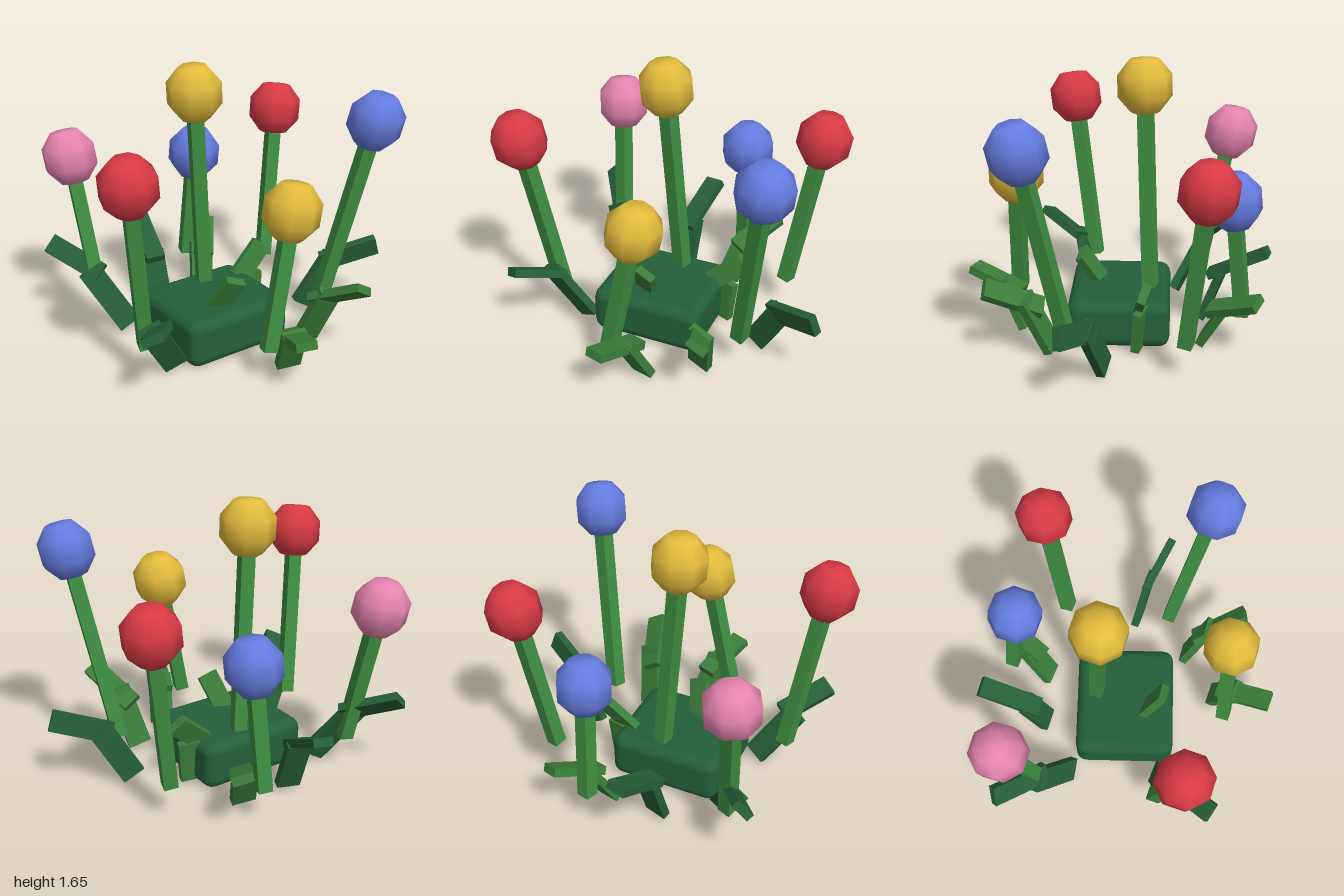
import * as THREE from 'three';
import { RoundedBoxGeometry } from 'three/addons/geometries/RoundedBoxGeometry.js';

const UP = new THREE.Vector3(0, 1, 0);
const material = (color) => new THREE.MeshStandardMaterial({ color });
const MAT = {
  base: material(0x23603a),
  stem: material(0x3f8f42),
  dark: material(0x265f36),
  light: material(0x3a7d3a),
  yellow: material(0xe3bb3c),
  red: material(0xd93a45),
  blue: material(0x657ce0),
  pink: material(0xe684b0),
};

// Box whose long axis runs from a to b
function bar(name, a, b, width, depth, mat) {
  const from = new THREE.Vector3(...a);
  const dir = new THREE.Vector3(...b).sub(from);
  const mesh = new THREE.Mesh(new THREE.BoxGeometry(width, dir.length(), depth), mat);
  mesh.name = name;
  mesh.position.copy(from).addScaledVector(dir, 0.5);
  mesh.quaternion.setFromUnitVectors(UP, dir.normalize());
  return mesh;
}

// Eight-sided rounded flower head
function headGeometry() {
  const profile = [[0, -0.158], [0.085, -0.152], [0.157, -0.063], [0.157, 0.063], [0.085, 0.152], [0, 0.158]];
  const geo = new THREE.LatheGeometry(profile.map(([r, y]) => new THREE.Vector2(r, y)), 8);
  return geo.rotateY(Math.PI / 8);
}

// Stem foot, head centre, colour
const FLOWERS = [
  [[-0.09, 0.2, -0.17], [-0.16, 1.49, -0.1], 'yellow'],
  [[-0.6, 0.21, 0.37], [-0.7, 1.235, 0.54], 'red'],
  [[-0.71, 0.21, -0.31], [-0.82, 1.065, -0.455], 'pink'],
  [[-0.04, 0.21, -0.745], [0.005, 0.92, -0.68], 'blue'],
  [[0.43, 0.21, -0.54], [0.545, 1.16, -0.675], 'red'],
  [[0.56, 0.21, 0.11], [0.79, 1.34, 0.265], 'blue'],
  [[0.03, 0.21, 0.63], [0.175, 0.995, 0.565], 'yellow'],
];

// Lower blade foot and top, upper blade start and tip, colour
const LEAVES = [
  [[-0.3, 0.03, -0.44], [-0.32, 0.34, -0.55], [-0.315, 0.31, -0.47], [-0.345, 0.49, -0.82], 'dark'],
  [[0, 0.03, -0.52], [0.04, 0.29, -0.67], [0.03, 0.25, -0.57], [0.125, 0.375, -0.87], 'light'],
  [[-0.56, 0.05, -0.18], [-0.77, 0.38, -0.32], [-0.7, 0.36, -0.29], [-0.96, 0.5, -0.51], 'dark'],
  [[-0.42, 0.04, 0.33], [-0.6, 0.37, 0.47], [-0.52, 0.35, 0.44], [-0.65, 0.45, 0.73], 'dark'],
  [[0.19, 0.03, 0.52], [0.165, 0.31, 0.67], [0.17, 0.25, 0.55], [0.15, 0.35, 0.88], 'light'],
  [[0.4, 0.04, 0.27], [0.5, 0.38, 0.39], [0.43, 0.3, 0.31], [0.62, 0.46, 0.58], 'light'],
  [[0.53, 0.05, -0.1], [0.72, 0.37, -0.07], [0.64, 0.33, -0.08], [0.98, 0.43, -0.01], 'dark'],
  [[0.2, 0.02, -0.19], [0.22, 0.27, -0.21], [0.13, 0.25, -0.18], [0.31, 0.42, -0.26], 'light'],
  [[-0.13, 0.03, 0.08], [-0.11, 0.27, 0.15], [-0.12, 0.24, 0.14], [-0.03, 0.46, 0.25], 'light'],
];

export function createModel() {
  const model = new THREE.Group();
  model.name = 'flowerPatch';

  // Rounded base block, turned slightly
  const base = new THREE.Mesh(new RoundedBoxGeometry(0.68, 0.285, 0.6, 2, 0.065), MAT.base);
  base.name = 'base';
  base.position.set(-0.09, 0.1425, 0.02);
  base.rotation.y = 0.29;
  model.add(base);

  // Flowers: square stem with the head tilted along it
  const headGeo = headGeometry();
  for (const [foot, top, color] of FLOWERS) {
    const flower = new THREE.Group();
    flower.name = 'flower';
    const stem = bar('stem', foot, top, 0.08, 0.08, MAT.stem);
    const head = new THREE.Mesh(headGeo, MAT[color]);
    head.name = 'flowerHead';
    head.position.set(...top);
    head.quaternion.copy(stem.quaternion);
    flower.add(stem, head);
    model.add(flower);
  }

  // Bent leaves: a broad lower blade and a narrower, flatter upper blade
  for (const [foot, bend, start, tip, color] of LEAVES) {
    const leaf = new THREE.Group();
    leaf.name = 'leaf';
    leaf.add(
      bar('lowerBlade', foot, bend, 0.14, 0.05, MAT[color]),
      bar('upperBlade', start, tip, 0.12, 0.05, MAT[color]),
    );
    model.add(leaf);
  }
  return model;
}
